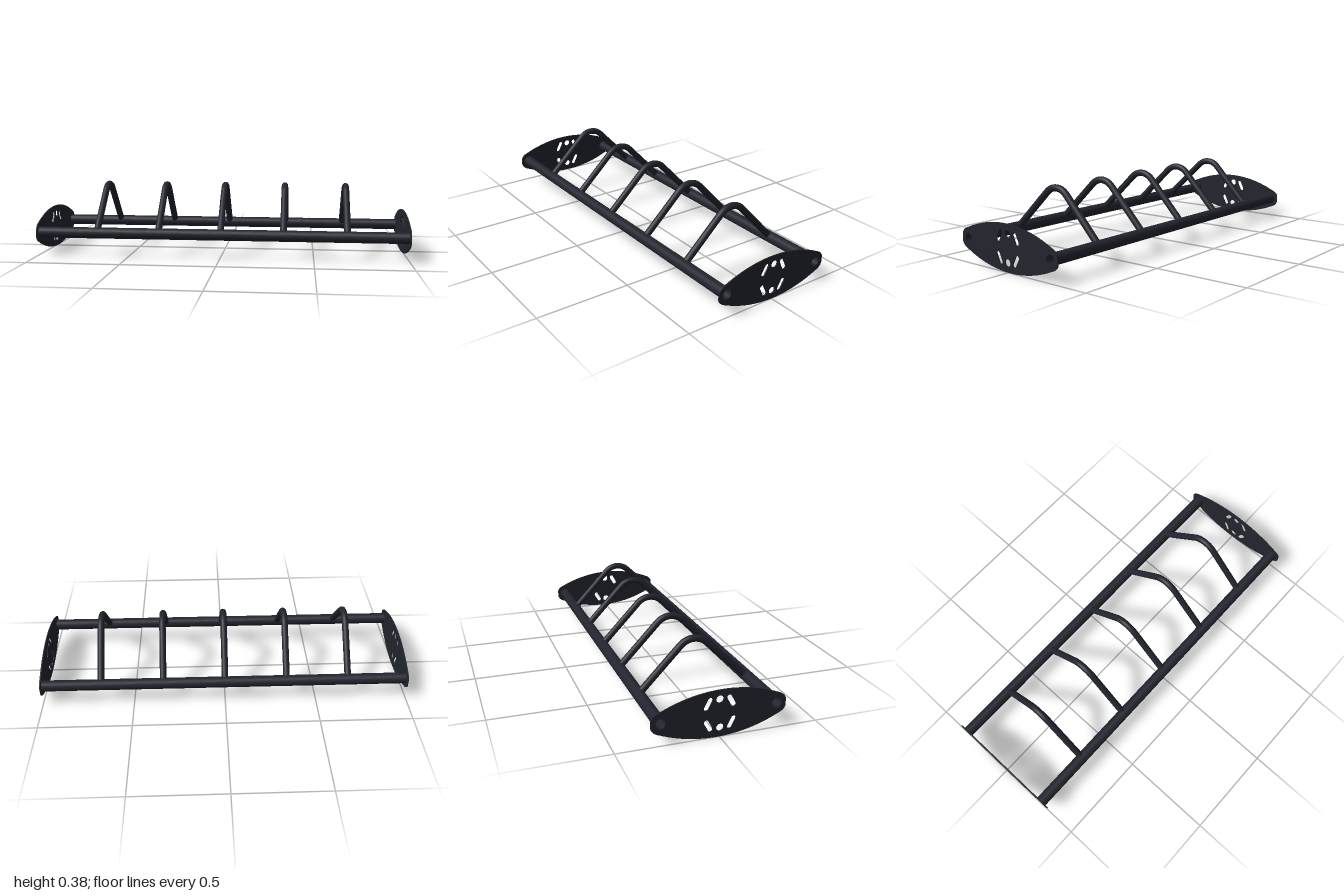
import * as THREE from 'three';
import { mergeGeometries } from 'three/addons/utils/BufferGeometryUtils.js';

const RAIL_Z = 0.286, RAIL_R = 0.03, RAIL_BORE = 0.0245;
const HOOP_R = 0.018, PLATE_T = 0.006;

// Open pipe along x with a wall thickness and crisp end rims
function pipeGeometry(outer, inner, length) {
  const h = length / 2;
  const loop = [[outer, -h], [outer, h], [inner, h], [inner, -h], [outer, -h]]
    .map(([r, y]) => new THREE.Vector2(r, y));
  const walls = [];
  for (let i = 0; i < 4; i++) walls.push(new THREE.LatheGeometry([loop[i], loop[i + 1]], 40));
  return mergeGeometries(walls).rotateZ(-Math.PI / 2);
}

function circleHole(x, y, r) {
  return new THREE.Path().absarc(x, y, r, 0, Math.PI * 2, true);
}

// Round-ended slot between two points
function slotHole(x1, y1, x2, y2, r) {
  const a = Math.atan2(y2 - y1, x2 - x1), q = Math.PI / 2;
  const path = new THREE.Path();
  path.absarc(x2, y2, r, a - q, a + q, false);
  path.absarc(x1, y1, r, a + q, a + 3 * q, false);
  path.closePath();
  return path;
}

// Lens-shaped end plate with rounded tips, rail sockets and bolt holes
function plateGeometry() {
  const R = 0.704, top = 0.118, endX = 0.291;
  const half = Math.asin(endX / R), q = Math.PI / 2;
  const endY = top - R + R * Math.cos(half);
  const shape = new THREE.Shape();
  shape.absarc(0, top - R, R, q - half, q + half, false);
  shape.quadraticCurveTo(-0.327, 0.043, -0.333, 0.018);
  shape.lineTo(-0.333, -0.018);
  shape.quadraticCurveTo(-0.327, -0.043, -endX, -endY);
  shape.absarc(0, R - top, R, 3 * q - half, 3 * q + half, false);
  shape.quadraticCurveTo(0.327, -0.043, 0.333, -0.018);
  shape.lineTo(0.333, 0.018);
  shape.quadraticCurveTo(0.327, 0.043, endX, endY);
  for (const s of [-1, 1]) {
    shape.holes.push(circleHole(s * RAIL_Z, 0, RAIL_R));
    shape.holes.push(circleHole(0, s * 0.0715, 0.0185));
    for (const t of [-1, 1]) {
      shape.holes.push(slotHole(s * 0.0473, t * 0.074, s * 0.067, t * 0.036, 0.0118));
    }
  }
  const geo = new THREE.ExtrudeGeometry(shape, { depth: PLATE_T, bevelEnabled: false, curveSegments: 24 });
  return geo.translate(0, 0, -PLATE_T / 2).rotateY(-Math.PI / 2);
}

// Bent hoop: two 45 degree legs joined by an arc, ends coped to the rails
function hoopGeometry() {
  const bend = 0.095, c = Math.SQRT1_2;
  const arcY = RAIL_Z - bend * Math.SQRT2;
  const point = (z, y) => new THREE.Vector3(0, y, z);
  const foot = 0.04;
  const pts = [];
  for (let i = 0; i <= 16; i++) {
    const a = Math.PI / 4 + (i / 16) * (Math.PI / 2);
    pts.push(point(bend * Math.cos(a), arcY + bend * Math.sin(a)));
  }
  const path = new THREE.CurvePath();
  path.add(new THREE.LineCurve3(point(RAIL_Z - foot * c, foot * c), pts[0]));
  path.add(new THREE.CatmullRomCurve3(pts));
  path.add(new THREE.LineCurve3(pts[16], point(-RAIL_Z + foot * c, foot * c)));
  const rings = 64, sides = 24;
  const geo = new THREE.TubeGeometry(path, rings, HOOP_R, sides, false);

  // Slide the end rings along the legs until they sit inside the rail wall
  const pos = geo.attributes.position;
  for (const [ring, s] of [[0, 1], [rings, -1]]) {
    for (let j = 0; j <= sides; j++) {
      const i = ring * (sides + 1) + j;
      const dz = (pos.getZ(i) - s * RAIL_Z) * s, dy = pos.getY(i);
      const off = (dz + dy) * c;
      const along = Math.sqrt(0.0275 ** 2 - off ** 2);
      pos.setY(i, (along + off) * c);
      pos.setZ(i, s * (RAIL_Z + (off - along) * c));
    }
  }
  return geo;
}

export function createModel() {
  const model = new THREE.Group();
  model.name = 'hoopedLadderRack';
  const material = new THREE.MeshStandardMaterial({ color: 0x22252e });

  // The whole frame leans slightly, front rail a little higher
  const frame = new THREE.Group();
  frame.name = 'frame';
  frame.position.y = 0.118;
  frame.rotation.x = -0.028;
  model.add(frame);

  const add = (name, geometry, x, z) => {
    const mesh = new THREE.Mesh(geometry, material);
    mesh.name = name;
    mesh.position.set(x, 0, z);
    frame.add(mesh);
  };

  // Long hollow rails
  const rail = pipeGeometry(RAIL_R, RAIL_BORE, 2);
  add('frontRail', rail, 0, RAIL_Z);
  add('backRail', rail, 0, -RAIL_Z);

  // End plates
  const plate = plateGeometry();
  add('leftEndPlate', plate, 1 - PLATE_T / 2, 0);
  add('rightEndPlate', plate, -1 + PLATE_T / 2, 0);

  // Five bent hoops across the rails
  const hoop = hoopGeometry();
  for (let i = -2; i <= 2; i++) add('hoop' + (i + 3), hoop, i * 0.338, 0);

  return model;
}
